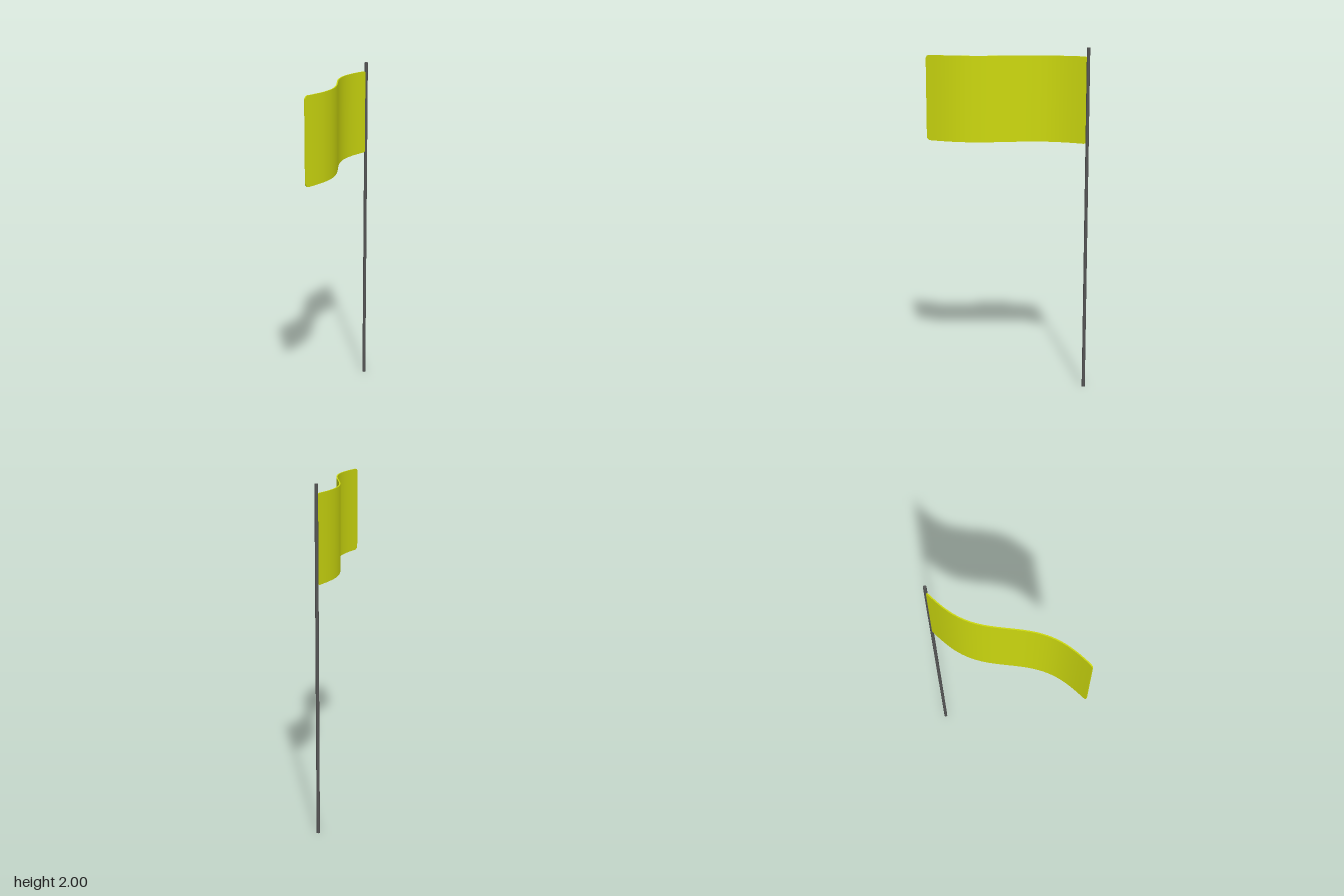
import * as THREE from 'three';

const POLE_Z = -0.463, POLE_R = 0.0095;

// Waving sheet: a thin box, rounded at the corners and bent along an S curve
function flagGeometry() {
  const start = POLE_Z, end = 0.472, length = end - start;
  const height = 0.492, corner = 0.022, thickness = 0.007, wave = 0.0525;
  const geo = new THREE.BoxGeometry(thickness, height, 2, 1, 1, 72);
  const pos = geo.attributes.position;
  for (let i = 0; i < pos.count; i++) {
    // columns crowd towards both ends, so the corners stay round
    const s = Math.sin(pos.getZ(i) * Math.PI / 2);
    const z = (start + end) / 2 + s * length / 2;
    const d = Math.min(corner, (1 - Math.abs(s)) * length / 2);
    const half = height / 2 - corner + Math.sqrt(Math.max(0, corner ** 2 - (corner - d) ** 2));
    const k = 2 * Math.PI / length;
    const slope = wave * k * Math.cos(s * Math.PI);
    const n = 1 / Math.hypot(1, slope);
    const t = pos.getX(i);
    pos.setXYZ(i,
      wave * Math.sin(s * Math.PI) + t * n,
      Math.sign(pos.getY(i)) * half,
      z - t * slope * n);
  }
  geo.computeVertexNormals();
  return geo;
}

export function createModel() {
  const model = new THREE.Group();
  model.name = 'flagOnPole';

  // Pole
  const pole = new THREE.Mesh(
    new THREE.CylinderGeometry(POLE_R, POLE_R, 2, 24),
    new THREE.MeshStandardMaterial({ color: 0x555555 }));
  pole.name = 'pole';
  pole.position.set(0.002, 1, POLE_Z);
  model.add(pole);

  // Flag
  const flag = new THREE.Mesh(
    flagGeometry(),
    new THREE.MeshStandardMaterial({ color: 0xccd80f }));
  flag.name = 'flag';
  flag.position.y = 1.703;
  model.add(flag);

  return model;
}
